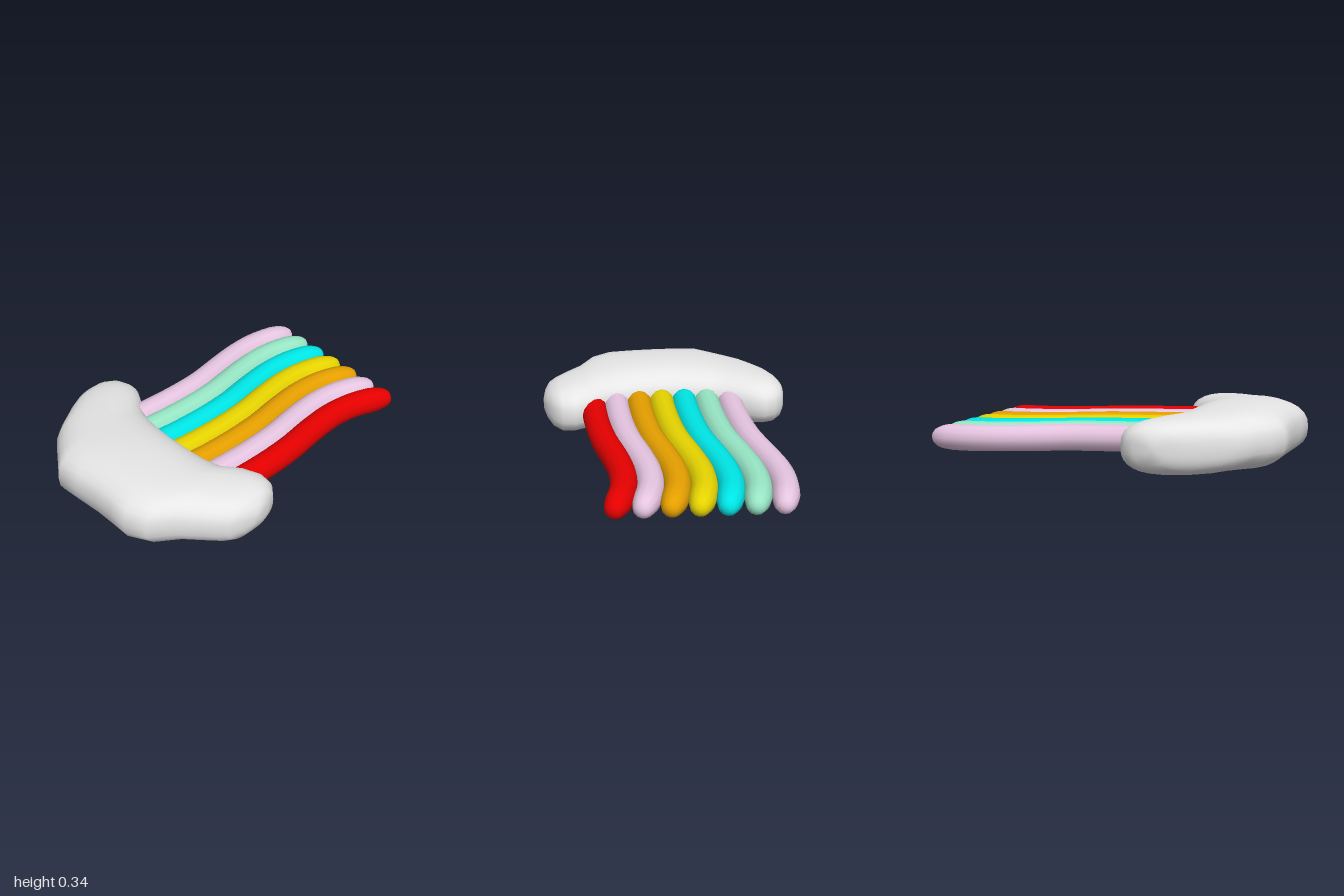
import * as THREE from 'three';

const mat = (name, color) => {
  const m = new THREE.MeshStandardMaterial({ color });
  m.name = name;
  return m;
};

// Closed smooth skin through a list of rings with equal point counts
function loft(rings) {
  const n = rings[0].length, pos = [], idx = [];
  const centre = (r) => r.reduce((s, p) => s.add(p), new THREE.Vector3()).divideScalar(n);
  rings.forEach((r) => r.forEach((p) => pos.push(p.x, p.y, p.z)));
  const last = rings.length - 1, c0 = rings.length * n, c1 = c0 + 1;
  [centre(rings[0]), centre(rings[last])].forEach((p) => pos.push(p.x, p.y, p.z));
  for (let j = 0; j < n; j++) {
    const k = (j + 1) % n;
    for (let i = 0; i < last; i++) {
      const a = i * n + j, b = i * n + k, c = a + n, d = b + n;
      idx.push(a, b, c, b, d, c);
    }
    idx.push(c0, k, j, c1, last * n + j, last * n + k);
  }
  const g = new THREE.BufferGeometry();
  g.setAttribute('position', new THREE.Float32BufferAttribute(pos, 3));
  g.setIndex(idx);
  g.computeVertexNormals();
  return g;
}

// Crescent bell: [z, outer x, inner x, bottom y, top y]
const BELL = [
  [-0.703, -0.40, -0.34, 0.13, 0.20],
  [-0.69, -0.45, -0.265, 0.085, 0.245],
  [-0.665, -0.53, -0.215, 0.05, 0.27],
  [-0.62, -0.615, -0.178, 0.025, 0.293],
  [-0.56, -0.72, -0.16, 0.017, 0.303],
  [-0.51, -0.79, -0.168, 0.015, 0.31],
  [-0.43, -0.855, -0.22, 0.017, 0.317],
  [-0.36, -0.91, -0.28, 0.015, 0.322],
  [-0.28, -0.975, -0.32, 0.01, 0.328],
  [-0.15, -0.975, -0.355, 0.005, 0.338],
  [0, -0.973, -0.375, 0, 0.343],
  [0.13, -0.985, -0.38, 0.003, 0.34],
  [0.25, -1.0, -0.375, 0.01, 0.333],
  [0.36, -0.95, -0.35, 0.015, 0.325],
  [0.45, -0.83, -0.28, 0.017, 0.315],
  [0.54, -0.755, -0.25, 0.02, 0.307],
  [0.61, -0.695, -0.265, 0.027, 0.295],
  [0.655, -0.65, -0.31, 0.05, 0.275],
  [0.685, -0.58, -0.38, 0.09, 0.24],
  [0.7, -0.51, -0.45, 0.13, 0.20],
];

function bellRing([z, x0, x1, y0, y1]) {
  const cx = (x0 + x1) / 2, cy = (y0 + y1) / 2, w = (x1 - x0) / 2, h = (y1 - y0) / 2;
  const e = 2 / 2.5; // rounded, slightly boxy section
  return Array.from({ length: 28 }, (_, j) => {
    const a = (j / 28) * Math.PI * 2, c = Math.cos(a), s = Math.sin(a);
    return new THREE.Vector3(
      cx + w * Math.sign(c) * Math.abs(c) ** e, cy + h * Math.sign(s) * Math.abs(s) ** e, z);
  });
}

// Wavy centre line of the front tentacle
const PATH = [
  [-0.48, 0.168, 0.41], [-0.3, 0.162, 0.425], [-0.08, 0.155, 0.43], [0.1, 0.15, 0.422],
  [0.3, 0.142, 0.395], [0.5, 0.135, 0.383], [0.66, 0.128, 0.404], [0.8, 0.122, 0.455], [0.888, 0.118, 0.498],
];

// Tentacle i steps back and outwards; the spacing widens towards the tips
function tentacle(i) {
  const curve = new THREE.CatmullRomCurve3(PATH.map(([x, y, z]) => {
    const gap = 0.132 + 0.014 * Math.max(0, x) ** 2;
    return new THREE.Vector3(x + i * 0.0175, y, z - i * gap);
  }));
  const stations = [...Array.from({ length: 22 }, (_, k) => [k / 23.2, 0.073]),
    [0.935, 0.069], [0.96, 0.061], [0.98, 0.051], [0.993, 0.038], [1, 0.017]];
  return loft(stations.map(([u, r]) => {
    const p = curve.getPointAt(u), t = curve.getTangentAt(u);
    const side = new THREE.Vector3(-t.z, 0, t.x).normalize();
    return Array.from({ length: 12 }, (_, j) => {
      const a = (j / 12) * Math.PI * 2;
      return p.clone().addScaledVector(side, r * Math.sin(a))
        .add(new THREE.Vector3(0, r * Math.cos(a), 0));
    });
  }));
}

export function createModel() {
  const model = new THREE.Group();
  model.name = 'jellyfish';

  const bell = new THREE.Mesh(loft(BELL.map(bellRing)), mat('light grey', 0xe6e6e6));
  bell.name = 'bell';
  model.add(bell);

  const pink = mat('pale pink', 0xe6c5e1);
  const colours = [mat('red', 0xe60000), pink, mat('orange', 0xe6a000), mat('yellow', 0xe6d400),
    mat('cyan', 0x00e6e6), mat('mint', 0x98e6c6), pink];

  colours.forEach((material, i) => {
    const arm = new THREE.Mesh(tentacle(i), material);
    arm.name = `tentacle${i + 1}`;
    model.add(arm);
  });
  return model;
}
